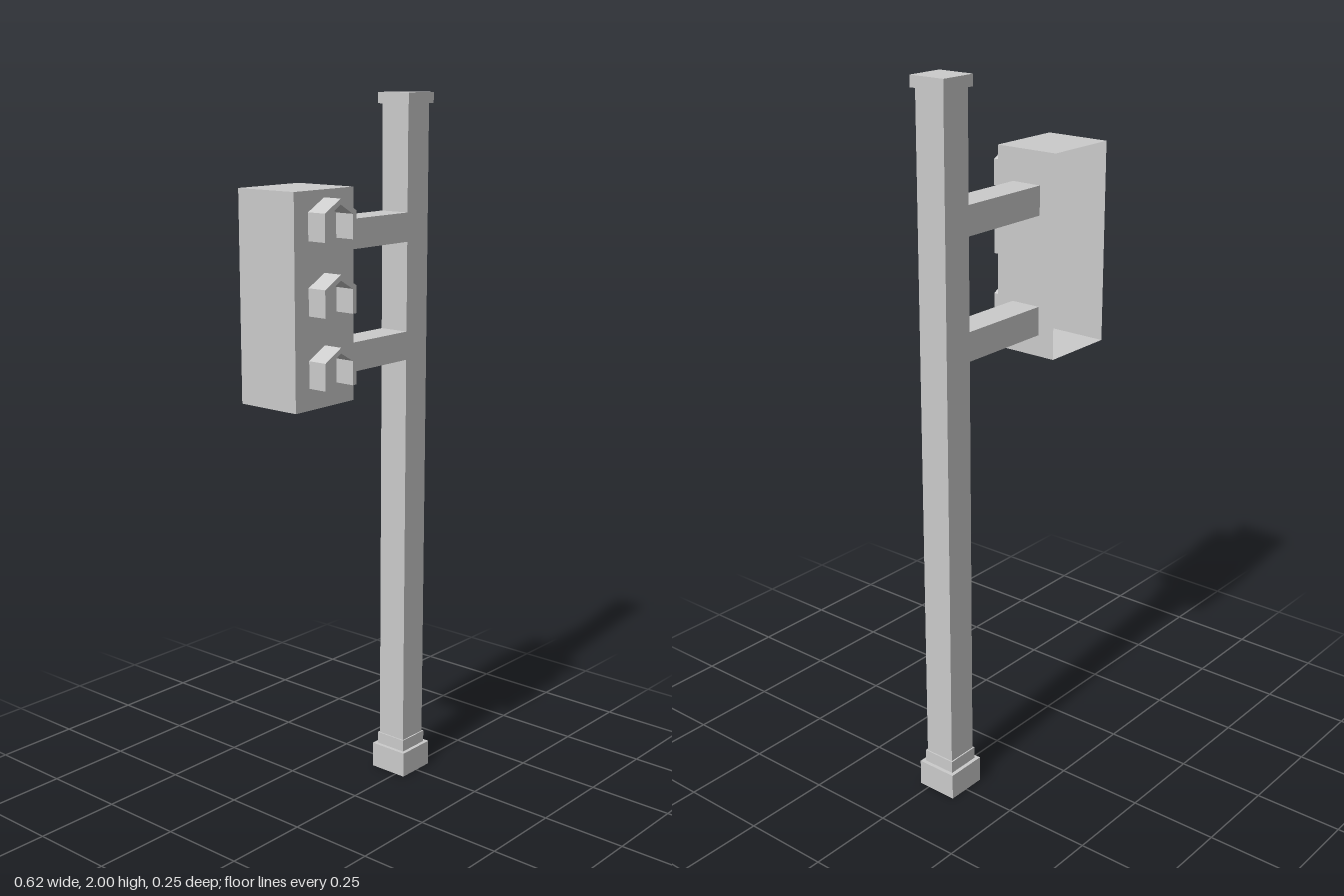
import * as THREE from 'three';

const grey = new THREE.MeshStandardMaterial({ color: 0xcccccc, flatShading: true });
const thin = new THREE.MeshStandardMaterial({ color: 0xcccccc, flatShading: true, side: THREE.DoubleSide });

// Box given by its lower and upper limits on each axis
function box(name, [x0, x1], [y0, y1], [z0, z1]) {
  const mesh = new THREE.Mesh(new THREE.BoxGeometry(x1 - x0, y1 - y0, z1 - z0), grey);
  mesh.position.set((x0 + x1) / 2, (y0 + y1) / 2, (z0 + z1) / 2);
  mesh.name = name;
  return mesh;
}

// Same box as a thin shell with one side left out (3 = bottom, 5 = back)
function openBox(name, xs, ys, zs, side) {
  const mesh = box(name, xs, ys, zs);
  const index = Array.from(mesh.geometry.index.array);
  index.splice(side * 6, 6);
  mesh.geometry.setIndex(index);
  mesh.geometry.clearGroups();
  mesh.material = thin;
  return mesh;
}

// Peaked hood, open below, extruded forward
function visorGeometry(depth) {
  const w = 0.06, t = 0.014;
  const shape = new THREE.Shape([
    [-w, 0], [-w, 0.072], [0, 0.105], [w, 0.072], [w, 0],
    [w - t, 0], [w - t, 0.064], [0, 0.09], [t - w, 0.064], [t - w, 0],
  ].map(([x, y]) => new THREE.Vector2(x, y)));
  return new THREE.ExtrudeGeometry(shape, { depth, bevelEnabled: false });
}

export function createModel() {
  const model = new THREE.Group();
  model.name = 'signalPost';
  const px = 0.248, pz = -0.03;
  const around = (c, half) => [c - half, c + half];

  // Post with hollow foot, collar and cap
  model.add(openBox('foot', around(px, 0.06), [0, 0.075], around(pz, 0.06), 3));
  model.add(box('collar', around(px, 0.049), [0.075, 0.11], around(pz, 0.049)));
  model.add(box('post', around(px, 0.045), [0.075, 1.97], around(pz, 0.045)));
  model.add(box('cap', around(px, 0.054), [1.97, 2], around(pz, 0.054)));

  // Two arms, just showing inside the housing
  for (const y of [1.27, 1.6]) {
    model.add(box('arm', [-0.089, 0.21], [y, y + 0.08], around(pz, 0.045)));
  }

  // Lamp housing, open at the back
  model.add(openBox('housing', [-0.31, -0.085], [1.21, 1.77], [-0.125, 0.067], 5));

  // Hoods on the front and lamp panels inside
  const visor = visorGeometry(0.056);
  [1.268, 1.455, 1.645].forEach((y, i) => {
    const hood = new THREE.Mesh(visor, grey);
    hood.name = 'visor';
    hood.position.set(-0.198, y, 0.067);
    model.add(hood);
    const bottom = 1.22 + i * 0.18;
    model.add(box('lampPanel', around(-0.198, 0.078), [bottom, bottom + 0.17], [0.061, 0.066]));
  });
  return model;
}
